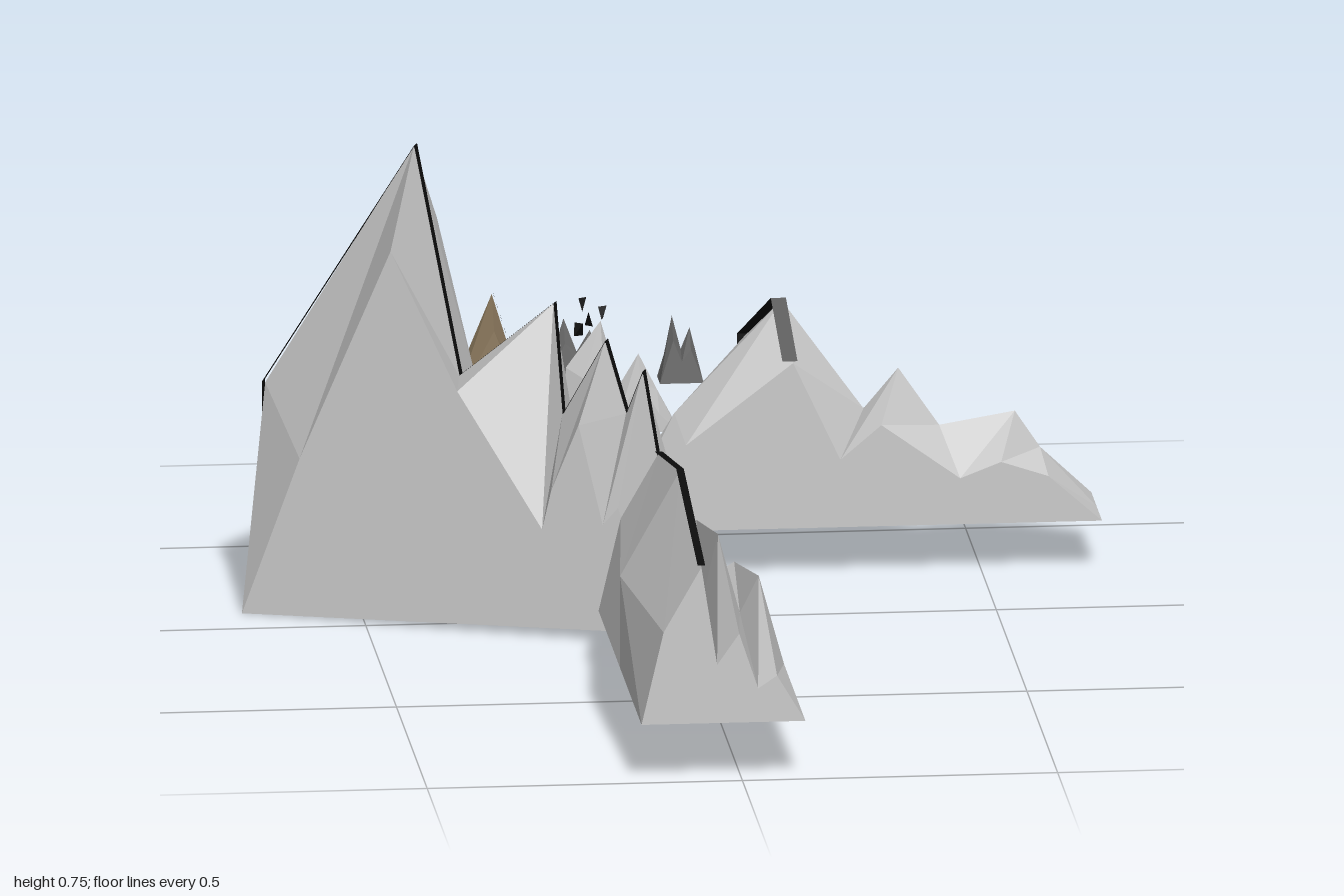
import * as THREE from 'three';

const mat = (color) => new THREE.MeshStandardMaterial({ color, flatShading: true, side: THREE.DoubleSide });
const rock = mat(0xcccccc), brown = mat(0x8f7c60), slate = mat(0x707070), black = mat(0x0c0c0c);

function meshFrom(name, pos, material) {
  const g = new THREE.BufferGeometry();
  g.setAttribute('position', new THREE.Float32BufferAttribute(pos, 3));
  g.computeVertexNormals();
  const m = new THREE.Mesh(g, material);
  m.name = name;
  return m;
}

// Jagged block: one skyline on the front and back faces, a taller one midway.
// Skyline points are [x, y, optional z shift]; first and last points lie on the base.
function ridge(name, half, edge, mid, material = rock, back = edge) {
  const pos = [];
  const rows = [[edge, half], [mid, 0], [back, -half]].map(([pts, z]) =>
    pts.map(([x, y, dz = 0]) => new THREE.Vector3(x, y, z + dz)));
  const tri = (...v) => v.forEach((p) => pos.push(p.x, p.y, p.z));
  const n = edge.length;
  // slopes
  for (let r = 0; r < 2; r++) {
    const f = rows[r], b = rows[r + 1];
    for (let i = 0; i < n - 1; i++) {
      tri(f[i], f[i + 1], b[i + 1]);
      tri(f[i], b[i + 1], b[i]);
    }
    // underside
    tri(f[0], b[0], b[n - 1]);
    tri(f[0], b[n - 1], f[n - 1]);
  }
  // front and back walls
  for (const [row, front] of [[rows[0], true], [rows[2], false]]) {
    const c = [...row].reverse();
    const flat = c.map((p) => new THREE.Vector2(p.x, p.y));
    for (const [i, j, k] of THREE.ShapeUtils.triangulateShape(flat, [])) {
      if (front) tri(c[i], c[j], c[k]);
      else tri(c[i], c[k], c[j]);
    }
  }
  return meshFrom(name, pos, material);
}

// Thin dark band along a path; across = half-width vector
function seam(name, path, across) {
  const pos = [];
  const a = new THREE.Vector3(...across);
  const l = path.map((p) => new THREE.Vector3(...p).sub(a));
  const r = path.map((p) => new THREE.Vector3(...p).add(a));
  for (let i = 0; i < path.length - 1; i++) {
    for (const p of [l[i], r[i], r[i + 1], l[i], r[i + 1], l[i + 1]]) pos.push(p.x, p.y, p.z);
  }
  return meshFrom(name, pos, black);
}

function place(name, x, z, ...parts) {
  const g = new THREE.Group();
  g.name = name;
  g.position.set(x, 0, z);
  g.add(...parts);
  return g;
}

export function createModel() {
  const model = new THREE.Group();
  model.name = 'mountainRidges';

  // Tallest ridge, turned, with a dark seam along its crest
  const crest = [[-0.345, 0], [-0.345, 0.345], [-0.1, 0.75], [-0.025, 0.38], [0.13, 0.51],
    [0.145, 0.33], [0.215, 0.455], [0.25, 0.34], [0.277, 0.41], [0.345, 0.02]];
  const main = place('mainRidge', -0.32, -0.08,
    ridge('mainRidgeRock', 0.127,
      [[-0.345, 0], [-0.25, 0.26], [-0.1, 0.61], [0.01, 0.39], [0.15, 0.175],
        [0.165, 0.24], [0.21, 0.35], [0.25, 0.19], [0.275, 0.22], [0.345, 0.02]],
      crest, rock,
      [[-0.345, 0], [-0.26, 0.26], [-0.1, 0.6], [-0.03, 0.32], [0.1, 0.4],
        [0.14, 0.2], [0.2, 0.35], [0.24, 0.2], [0.275, 0.24], [0.345, 0.02]]),
    seam('mainRidgeSeam', crest.map(([x, y]) => [x + (x < -0.3 ? -0.003 : 0.003), y + 0.003, 0]), [0, 0, 0.008]));
  main.rotation.y = -0.39;
  model.add(main);

  // Long low ridge running forwards
  model.add(place('frontRidge', 0, 0.65,
    ridge('frontRidgeRock', 0.35,
      [[-0.16, 0.095], [-0.125, 0.245], [-0.065, 0.35], [-0.04, 0.19], [-0.005, 0.24],
        [0.025, 0.15], [0.055, 0.17], [0.1, 0.095]],
      [[-0.16, 0.095], [-0.16, 0.245], [-0.065, 0.415], [-0.03, 0.2], [-0.005, 0.31],
        [0.03, 0.18], [0.06, 0.24], [0.1, 0.095]]),
    seam('frontRidgeSeam', [[-0.065, 0.353, 0.35], [-0.065, 0.418, 0], [-0.065, 0.353, -0.35]], [0.006, 0, 0])));

  // Left ridge, seam crossing the summit and falling down its back wall
  model.add(place('leftRidge', 0, -0.315,
    ridge('leftRidgeRock', 0.087,
      [[-0.085, 0.08], [0.03, 0.22], [0.2, 0.35], [0.275, 0.19], [0.34, 0.245], [0.465, 0.155],
        [0.53, 0.18], [0.605, 0.155], [0.69, 0.08]],
      [[-0.085, 0.08], [0.02, 0.25], [0.19, 0.43], [0.32, 0.25], [0.375, 0.315], [0.44, 0.22],
        [0.56, 0.24], [0.6, 0.18], [0.69, 0.08]], rock,
      [[-0.085, 0.08], [0.04, 0.22], [0.14, 0.35], [0.26, 0.19], [0.36, 0.245], [0.44, 0.155],
        [0.53, 0.18], [0.605, 0.155], [0.69, 0.08]]),
    seam('leftRidgeSeam', [[0.195, 0.353, 0.087], [0.185, 0.434, 0], [0.14, 0.353, -0.09], [0.14, 0.08, -0.09]], [0.012, 0, 0])));

  // Smaller grey ridges behind
  model.add(place('rearRidge', -0.305, -0.413,
    ridge('rearRidgeRock', 0.053,
      [[-0.15, 0.11], [-0.125, 0.23], [-0.035, 0.33], [-0.01, 0.2], [0.03, 0.24], [0.06, 0.17], [0.1, 0.22], [0.15, 0.11]],
      [[-0.15, 0.11], [-0.15, 0.23], [-0.03, 0.42], [0, 0.23], [0.035, 0.3], [0.065, 0.2], [0.1, 0.27], [0.15, 0.11]], rock,
      [[-0.15, 0.11], [-0.12, 0.23], [-0.035, 0.33, -0.025], [-0.01, 0.2], [0.03, 0.24], [0.06, 0.17], [0.1, 0.22], [0.15, 0.11]])));
  model.add(place('rearSmallRidge', -0.035, -0.645,
    ridge('rearSmallRidgeRock', 0.034,
      [[-0.09, 0.14], [-0.06, 0.23], [-0.03, 0.27], [0, 0.18], [0.03, 0.22], [0.06, 0.17], [0.09, 0.14]],
      [[-0.09, 0.14], [-0.085, 0.24], [-0.03, 0.315], [0, 0.21], [0.03, 0.26], [0.06, 0.2], [0.09, 0.14]])));

  // Brown ridge
  const brownCrest = [[-0.2, 0.12], [-0.195, 0.25], [-0.14, 0.385], [-0.085, 0.25], [-0.06, 0.28], [-0.03, 0.2],
    [0.04, 0.37], [0.08, 0.24], [0.11, 0.3], [0.15, 0.2], [0.2, 0.12]];
  model.add(place('brownRidge', -0.28, -0.62,
    ridge('brownRidgeRock', 0.04,
      brownCrest.map(([x, y]) => [x, 0.12 + (y - 0.12) * 0.8]), brownCrest, brown),
    seam('brownRidgeSeam', brownCrest.slice(6).map(([x, y]) => [x + 0.002, y + 0.002, 0]), [0, 0, 0.004])));

  // Two distant dark peaks
  for (const [x, w] of [[-0.09, 0.052], [0.075, 0.035]]) {
    model.add(place('distantPeak', x, -0.778,
      ridge('distantPeakRock', 0.024,
        [[-w, 0.18], [-w * 0.4, 0.25], [0, 0.215], [w * 0.4, 0.235], [w, 0.18]],
        [[-w, 0.18], [-w * 0.4, 0.285], [0, 0.23], [w * 0.4, 0.265], [w, 0.18]], slate)));
  }

  // Tiny dark flakes at the far end
  const flakes = [[-0.115, 0.23, -0.975], [-0.06, 0.25, -0.992], [-0.05, 0.225, -0.99], [-0.07, 0.22, -0.95], [-0.03, 0.24, -0.975]];
  flakes.forEach(([x, y, z], i) => {
    const m = new THREE.Mesh(new THREE.TetrahedronGeometry(0.012), black);
    m.name = 'flake';
    m.position.set(x, y, z);
    m.scale.set(1, 1.5, 0.5);
    m.rotation.y = i;
    model.add(m);
  });
  return model;
}
